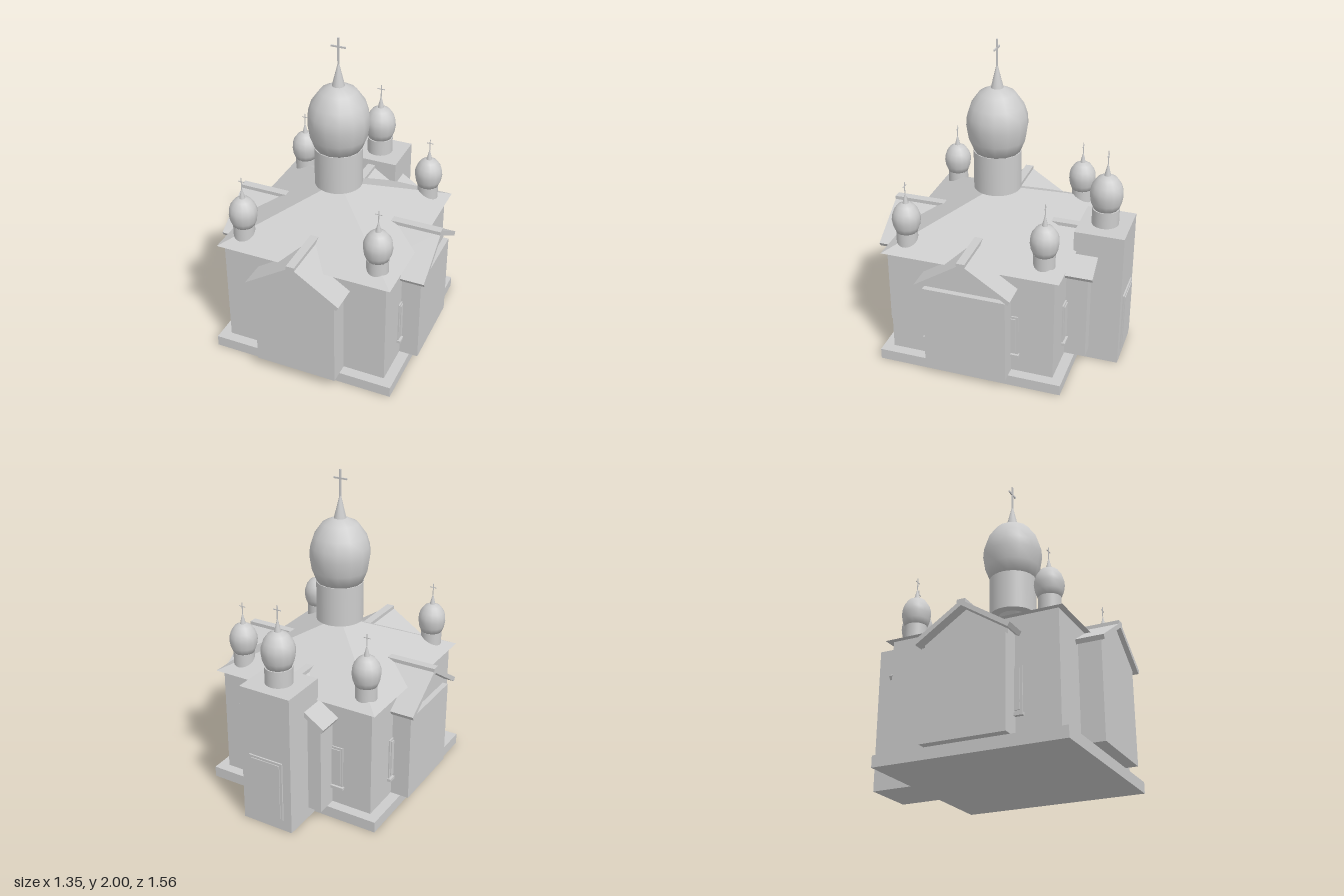
import * as THREE from 'three';

const stone = new THREE.MeshStandardMaterial({ color: 0xcccccc });
stone.name = 'pale grey stone';

function mesh(parent, name, geometry, x = 0, y = 0, z = 0) {
  const m = new THREE.Mesh(geometry, stone);
  m.name = name;
  m.position.set(x, y, z);
  parent.add(m);
  return m;
}

// Box given by its two opposite corners
function box(parent, name, [x0, y0, z0], [x1, y1, z1]) {
  return mesh(parent, name, new THREE.BoxGeometry(x1 - x0, y1 - y0, z1 - z0),
    (x0 + x1) / 2, (y0 + y1) / 2, (z0 + z1) / 2);
}

// Outline in x and y, extruded from z0 to z1
function prism(parent, name, points, z0, z1) {
  const shape = new THREE.Shape(points.map(([x, y]) => new THREE.Vector2(x, y)));
  return mesh(parent, name,
    new THREE.ExtrudeGeometry(shape, { depth: z1 - z0, bevelEnabled: false }), 0, 0, z0);
}

// Drum, faceted onion dome, spire and cross; y is the foot of the dome
function cupola(parent, name, x, y, z, scale, drumRadius, drumHeight) {
  const g = new THREE.Group();
  g.name = name;
  g.position.set(x, y, z);
  parent.add(g);
  mesh(g, 'drum', new THREE.CylinderGeometry(drumRadius, drumRadius, drumHeight, 32), 0, -drumHeight / 2, 0);
  const top = new THREE.Group();
  top.name = 'dome and cross';
  top.scale.setScalar(scale);
  g.add(top);
  const profile = [[0, 0], [0.143, 0], [0.175, 0.08], [0.189, 0.17], [0.184, 0.23],
    [0.163, 0.295], [0.11, 0.37], [0.045, 0.402], [0, 0.405]];
  mesh(top, 'dome', new THREE.LatheGeometry(profile.map(p => new THREE.Vector2(...p)), 14));
  mesh(top, 'spire', new THREE.CylinderGeometry(0.005, 0.042, 0.15, 10), 0, 0.465, 0);
  box(top, 'crossPost', [-0.005, 0.53, -0.005], [0.005, 0.7, 0.005]);
  box(top, 'crossBar', [-0.046, 0.64, -0.004], [0.046, 0.65, 0.004]);
}

// Gabled porch facing +z, turned to its side of the building
function porch(parent, name, angle, wallEnd, roofEnd, recessed) {
  const g = new THREE.Group();
  g.name = name;
  g.rotation.y = angle;
  parent.add(g);
  const gable = [[-0.26, 0.07], [0.26, 0.07], [0.26, 0.672], [0, 0.838], [-0.26, 0.672]];
  if (recessed) {
    box(g, 'porchWall', [-0.26, 0.07, 0.4], [0.26, 0.63, wallEnd]);
    prism(g, 'gableWall', gable, 0.35, wallEnd - 0.035);
  } else {
    prism(g, 'porchWall', gable, 0.35, wallEnd);
  }
  prism(g, 'porchRoof', [[0, 0.865], [-0.3, 0.67], [-0.286, 0.645], [0, 0.833],
    [0.286, 0.645], [0.3, 0.67]], 0.3, roofEnd);
  box(g, 'ridgeBeam', [-0.026, 0.843, 0.3], [0.026, 0.871, roofEnd]);
}

// Window panel with a sill, on a wall facing +z
function windowPanel(parent, angle, x0, x1) {
  const g = new THREE.Group();
  g.name = 'window';
  g.rotation.y = angle;
  parent.add(g);
  box(g, 'windowFrame', [x0, 0.2, 0.51], [x1, 0.47, 0.533]);
  box(g, 'windowPane', [x0 + 0.015, 0.215, 0.51], [x1 - 0.015, 0.455, 0.539]);
  box(g, 'windowSill', [x0 - 0.008, 0.182, 0.51], [x1 + 0.008, 0.2, 0.548]);
}

export function createModel() {
  const model = new THREE.Group();
  model.name = 'church';
  const church = new THREE.Group();
  church.name = 'building';
  church.position.z = 0.085;
  model.add(church);

  // Plinth, hall and pyramid roof
  box(church, 'plinth', [-0.59, 0, -0.59], [0.59, 0.07, 0.59]);
  box(church, 'hall', [-0.525, 0.07, -0.525], [0.525, 0.772, 0.525]);
  const roof = new THREE.ConeGeometry(0.56 * Math.SQRT2, 0.28, 4, 1).rotateY(Math.PI / 4).toNonIndexed();
  roof.computeVertexNormals();
  mesh(church, 'mainRoof', roof, 0, 0.91, 0);

  // Porches on all four sides
  porch(church, 'frontPorch', 0, 0.665, 0.695, false);
  porch(church, 'leftPorch', Math.PI / 2, 0.645, 0.675, true);
  porch(church, 'rightPorch', -Math.PI / 2, 0.645, 0.675, true);
  porch(church, 'backPorch', Math.PI, 0.66, 0.695, false);

  // Windows beside the side and back porches
  for (const [angle, edge] of [[Math.PI / 2, 0.305], [-Math.PI / 2, 0.305], [Math.PI, 0.335]]) {
    windowPanel(church, angle, edge - 0.12, edge);
    windowPanel(church, angle, -edge, 0.12 - edge);
  }

  // Central dome with the collar under its drum
  mesh(church, 'drumCollar', new THREE.CylinderGeometry(0.09, 0.06, 0.04, 24), 0, 1.032, 0);
  cupola(church, 'centralDome', 0, 1.3, 0, 1, 0.147, 0.25);

  // Corner domes
  for (const sx of [-1, 1]) for (const sz of [-1, 1]) {
    cupola(church, 'cornerDome', sx * 0.434, 0.887, sz * 0.434, 0.465, 0.066, 0.087);
  }

  // Bell tower at the back, with its door
  box(church, 'bellTower', [-0.17, 0, -0.85], [0.17, 0.905, -0.54]);
  box(church, 'towerDoorFrame', [-0.115, 0.07, -0.86], [0.115, 0.47, -0.84]);
  box(church, 'towerDoor', [-0.1, 0.085, -0.865], [0.1, 0.455, -0.85]);
  cupola(church, 'towerDome', 0, 1.01, -0.692, 0.543, 0.084, 0.105);

  return model;
}
